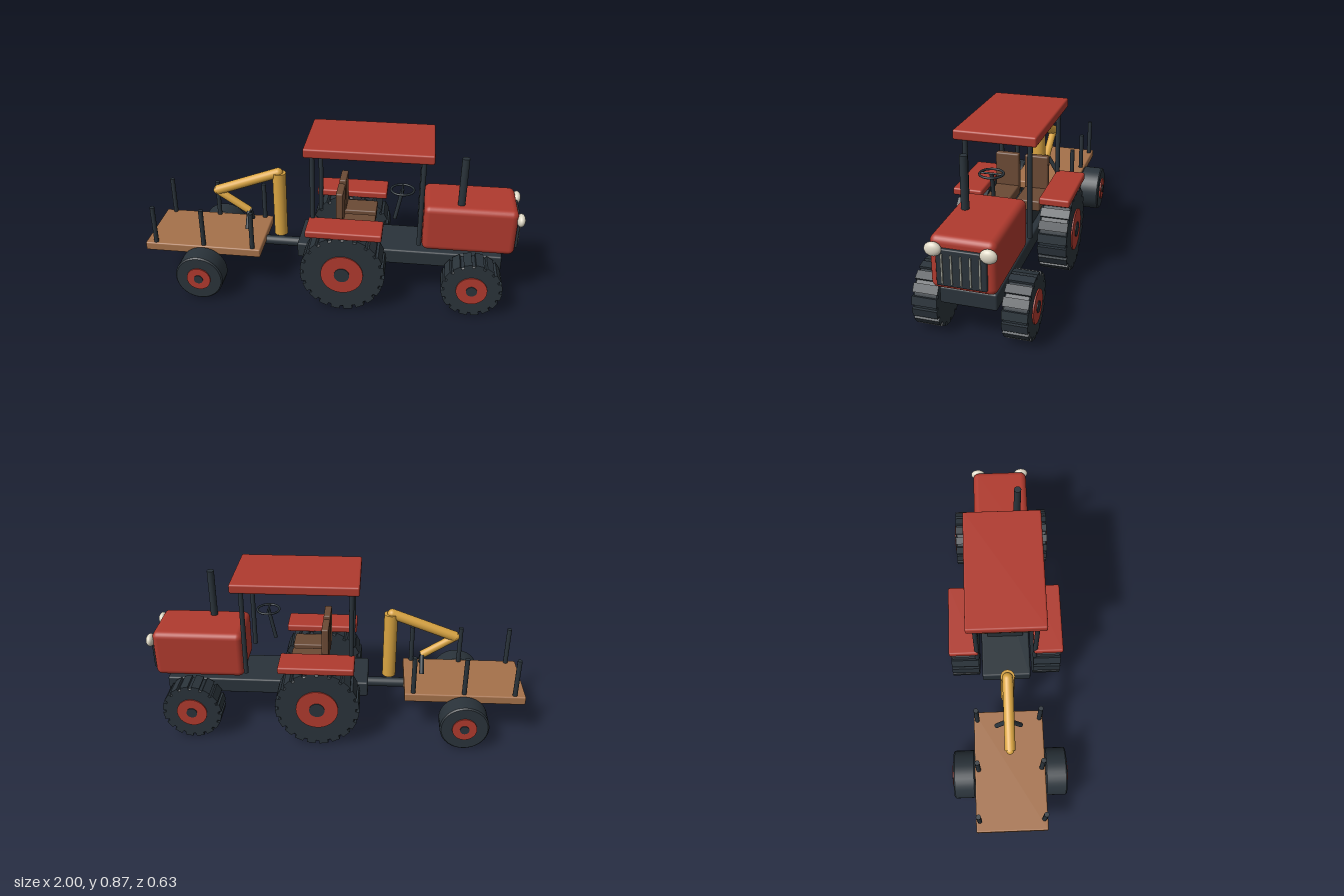
import * as THREE from 'three';
import { RoundedBoxGeometry } from 'three/addons/geometries/RoundedBoxGeometry.js';

const mat = (name, color) => {
  const m = new THREE.MeshStandardMaterial({ color });
  m.name = name;
  return m;
};

export function createModel() {
  const red = mat('body red', 0xb03a2e);
  const dark = mat('dark metal and rubber', 0x2a333a);
  const yellow = mat('crane yellow', 0xd9a441);
  const wood = mat('deck wood', 0xa5714a);
  const brown = mat('seat brown', 0x6b4a35);
  const cream = mat('lamp cream', 0xdcd6c4);
  const grey = mat('grille grey', 0x9a9c92);

  const model = new THREE.Group();
  model.name = 'tractorWithTrailer';

  const add = (name, geometry, material, x = 0, y = 0, z = 0, parent = model) => {
    const mesh = new THREE.Mesh(geometry, material);
    mesh.name = name;
    mesh.position.set(x, y, z);
    parent.add(mesh);
    return mesh;
  };
  // Soft-edged box given by its limits on each axis
  const box = (name, material, [x0, x1], [y0, y1], [z0, z1], r = 0.008) =>
    add(name, new RoundedBoxGeometry(x1 - x0, y1 - y0, z1 - z0, 3, r), material,
      (x0 + x1) / 2, (y0 + y1) / 2, (z0 + z1) / 2);
  // Round bar between two points
  const bar = (name, material, from, to, r) => {
    const a = new THREE.Vector3(...from), b = new THREE.Vector3(...to);
    const mid = a.clone().add(b).multiplyScalar(0.5);
    const mesh = add(name, new THREE.CylinderGeometry(r, r, a.distanceTo(b), 20), material, mid.x, mid.y, mid.z);
    mesh.quaternion.setFromUnitVectors(new THREE.Vector3(0, 1, 0), b.sub(a).normalize());
    return mesh;
  };

  // Chassis and bonnet
  box('chassis', dark, [-0.17, 0.91], [0.2, 0.284], [-0.133, 0.133], 0.01);
  box('bonnet', red, [0.49, 0.965], [0.305, 0.56], [-0.15, 0.15], 0.032);
  box('grille', dark, [0.93, 0.98], [0.335, 0.512], [-0.113, 0.113], 0.006);
  for (let i = -2; i <= 2; i++)
    add('grilleBar', new THREE.BoxGeometry(0.008, 0.14, 0.008), grey, 0.982, 0.42, i * 0.0425);
  for (const s of [-1, 1])
    add('headlight', new THREE.SphereGeometry(1, 24, 16), cream, 0.978, 0.508, s * 0.123)
      .scale.set(0.022, 0.033, 0.039);
  bar('exhaust', dark, [0.678, 0.5, 0.088], [0.678, 0.818, 0.088], 0.019);

  // Roof, posts and fenders
  box('roof', red, [-0.12, 0.525], [0.823, 0.872], [-0.2, 0.2], 0.01);
  for (const s of [-1, 1]) {
    for (const x of [-0.08, 0.475])
      bar('roofPost', dark, [x, 0.345, s * 0.157], [x, 0.83, s * 0.157], 0.0125);
    const [z0, z1] = s > 0 ? [0.15, 0.306] : [-0.306, -0.15];
    box('fender', red, [-0.1, 0.288], [0.43, 0.469], [z0, z1], 0.01);
    // Seats side by side
    const c = s * 0.079;
    box('seatCushion', brown, [0.045, 0.24], [0.37, 0.425], [c - 0.063, c + 0.063]);
    box('seatBack', brown, [0.038, 0.075], [0.39, 0.603], [c - 0.063, c + 0.063]);
  }
  box('seatBase', dark, [0.06, 0.22], [0.28, 0.375], [-0.1, 0.1]);

  // Steering
  const ring = add('steeringWheel', new THREE.TorusGeometry(0.059, 0.006, 10, 32), dark, 0.375, 0.611, 0.064);
  ring.rotation.x = Math.PI / 2;
  bar('steeringSpoke', dark, [0.375, 0.611, 0.005], [0.375, 0.611, 0.123], 0.005);
  bar('steeringColumn', dark, [0.342, 0.44, 0.064], [0.375, 0.611, 0.064], 0.01);

  // Wheels: local +z points outward
  const wheel = (name, x, side, { r, tyreR, z0, z1, rim, hub, out, lugs }) => {
    const g = new THREE.Group();
    g.name = name;
    g.position.set(x, r, 0);
    if (side < 0) g.rotation.y = Math.PI;
    model.add(g);
    const w = z1 - z0, zc = (z0 + z1) / 2;
    const disc = (part, radius, a, b, m) => {
      const geo = new THREE.CylinderGeometry(radius, radius, b - a, 36);
      add(part, geo.rotateX(Math.PI / 2), m, 0, 0, (a + b) / 2, g);
    };
    const e = 0.007;
    const profile = [[0, -w / 2], [tyreR - e, -w / 2], [tyreR, -w / 2 + e], [tyreR, w / 2 - e], [tyreR - e, w / 2], [0, w / 2]];
    // Each band is its own lathe so that the tyre edges stay sharp
    for (let i = 0; i < profile.length - 1; i++) {
      const pts = [profile[i], profile[i + 1]].map(p => new THREE.Vector2(...p));
      add('tyre', new THREE.LatheGeometry(pts, 36).rotateX(Math.PI / 2), dark, 0, 0, zc, g);
    }
    disc('rim', rim, z1 - 0.02, z1 + out * 0.6, red);
    disc('hub', hub, z1 - 0.02, z1 + out, dark);
    for (let i = 0; i < lugs; i++) {
      const a = (i + 0.5) / lugs * Math.PI * 2;
      const pitch = r * Math.PI * 2 / lugs;
      const lug = add('treadLug', new THREE.BoxGeometry(0.03, pitch * 0.68, w), dark,
        Math.cos(a) * (r - 0.016), Math.sin(a) * (r - 0.016), zc, g);
      lug.rotation.z = a;
    }
  };
  const rear = { r: 0.22, tyreR: 0.207, z0: 0.15, z1: 0.3, rim: 0.11, hub: 0.04, out: 0.011, lugs: 20 };
  const front = { r: 0.157, tyreR: 0.146, z0: 0.15, z1: 0.27, rim: 0.08, hub: 0.028, out: 0.011, lugs: 16 };
  const trailer = { r: 0.128, tyreR: 0.128, z0: 0.188, z1: 0.303, rim: 0.064, hub: 0.024, out: 0.012, lugs: 0 };
  for (const s of [-1, 1]) {
    wheel('rearWheel', 0.09, s, rear);
    wheel('frontWheel', 0.758, s, front);
    wheel('trailerWheel', -0.678, s, trailer);
  }

  // Trailer
  box('trailerDeck', wood, [-1, -0.365], [0.21, 0.258], [-0.187, 0.187]);
  bar('hitch', dark, [-0.37, 0.212, 0], [-0.15, 0.212, 0], 0.026);
  for (const x of [-0.943, -0.678, -0.41])
    for (const z of [-0.168, 0.168])
      bar('stake', dark, [x, 0.25, z], [x, 0.47, z], 0.0125);

  // Crane with a two-claw grab
  const shoulder = [-0.288, 0.634, 0], elbow = [-0.628, 0.508, 0], wrist = [-0.455, 0.393, 0];
  bar('craneMast', yellow, [-0.282, 0.265, 0], [-0.282, 0.635, 0], 0.036);
  bar('craneBoom', yellow, shoulder, elbow, 0.027);
  bar('craneArm', yellow, elbow, wrist, 0.021);
  add('shoulderJoint', new THREE.SphereGeometry(0.027, 20, 14), yellow, ...shoulder);
  add('elbowJoint', new THREE.SphereGeometry(0.021, 20, 14), yellow, ...elbow);
  for (const s of [-1, 1])
    bar('grabClaw', dark, [-0.456, 0.395, s * 0.012], [-0.456, 0.31, s * 0.065], 0.0125);

  return model;
}
